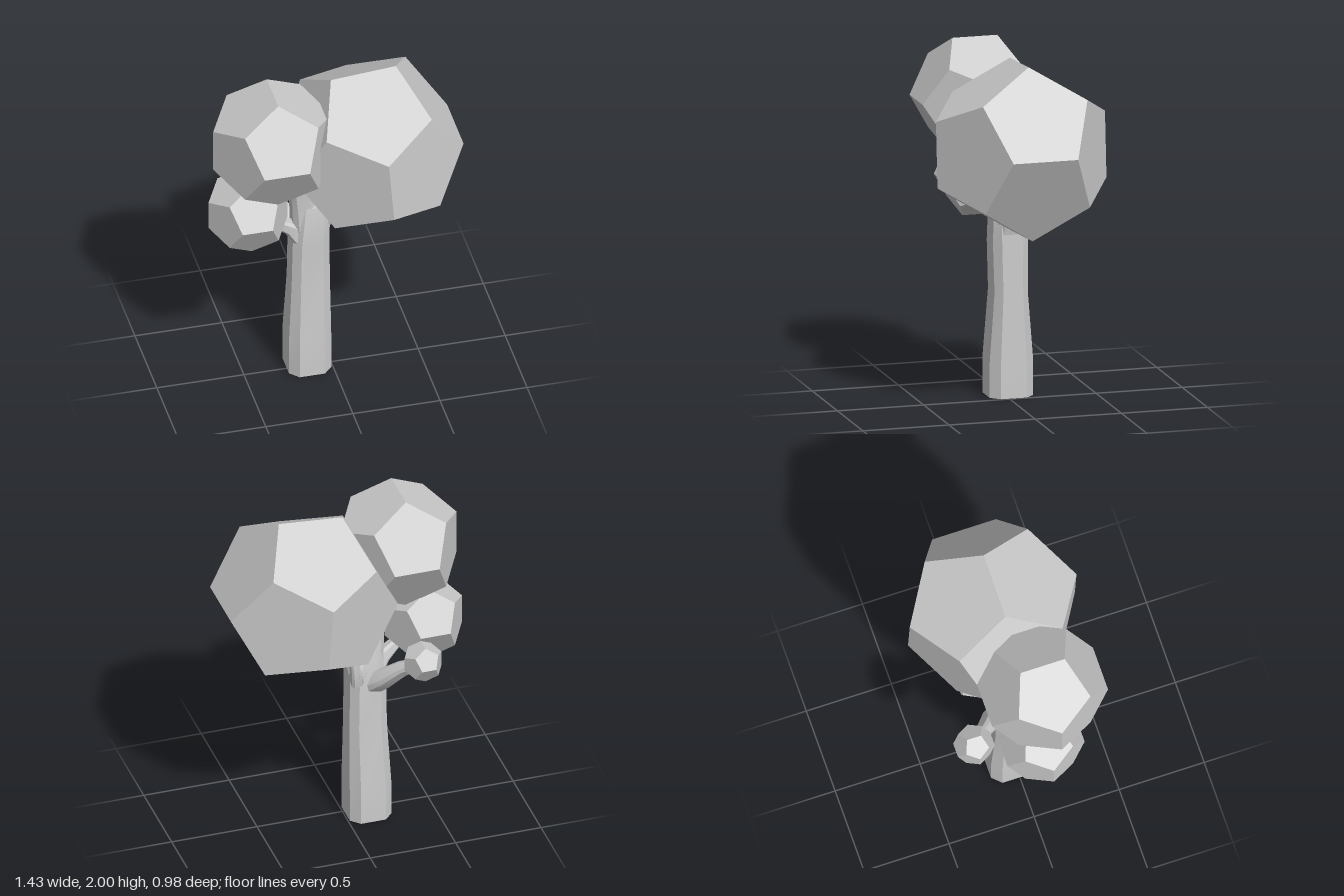
import * as THREE from 'three';
import { toCreasedNormals } from 'three/addons/utils/BufferGeometryUtils.js';

const UP = new THREE.Vector3(0, 1, 0);

// Chamfered-square cross-section: two corners in each quadrant
const ANGLES = [];
for (let q = 0; q < 4; q++) {
  const mid = (q + 0.5) * Math.PI / 2;
  ANGLES.push(mid - 0.25, mid + 0.25);
}

// Capped limb lofted through stations of [x, y, z, radius across x, radius across z]
function limbGeometry(stations) {
  const n = ANGLES.length;
  const centres = stations.map(([x, y, z]) => new THREE.Vector3(x, y, z));
  const last = centres.length - 1;
  const positions = [];
  const index = [];
  centres.forEach((c, i) => {
    const tangent = centres[Math.min(i + 1, last)].clone()
      .sub(centres[Math.max(i - 1, 0)]).normalize();
    const turn = new THREE.Quaternion().setFromUnitVectors(UP, tangent);
    const [, , , rx, rz = rx] = stations[i];
    for (const a of ANGLES) {
      const p = new THREE.Vector3(Math.sin(a) * rx, 0, Math.cos(a) * rz);
      p.applyQuaternion(turn).add(c);
      positions.push(p.x, p.y, p.z);
    }
  });
  for (let i = 0; i < last; i++) {
    for (let j = 0; j < n; j++) {
      const a = i * n + j;
      const b = i * n + (j + 1) % n;
      index.push(a, b, b + n, a, b + n, a + n);
    }
  }
  // End caps
  for (let j = 1; j < n - 1; j++) {
    index.push(0, j + 1, j);
    index.push(last * n, last * n + j, last * n + j + 1);
  }
  const geometry = new THREE.BufferGeometry();
  geometry.setAttribute('position', new THREE.Float32BufferAttribute(positions, 3));
  geometry.setIndex(index);
  return toCreasedNormals(geometry, 0.6);
}

export function createModel() {
  const tree = new THREE.Group();
  tree.name = 'tree';
  const bark = new THREE.MeshStandardMaterial({ color: 0xcccccc });
  const leaf = new THREE.MeshStandardMaterial({ color: 0xcccccc, flatShading: true });

  // Trunk and branches
  const limbs = {
    trunk: [
      [-0.132, 0, -0.027, 0.142, 0.147],
      [-0.132, 0.2, -0.027, 0.142, 0.147],
      [-0.124, 0.6, -0.025, 0.128, 0.112],
      [-0.124, 0.88, -0.022, 0.122, 0.118],
      [-0.115, 1.02, -0.015, 0.113, 0.108],
      [-0.11, 1.13, -0.01, 0.095, 0.085],
    ],
    upperRightBranch: [
      [-0.15, 0.95, -0.01, 0.085],
      [-0.17, 1.15, 0, 0.072],
      [-0.2, 1.35, 0.03, 0.062],
      [-0.28, 1.55, 0.08, 0.05],
    ],
    leftBranch: [
      [-0.09, 0.95, -0.015, 0.085],
      [-0.05, 1.1, -0.01, 0.075],
      [0.04, 1.26, 0, 0.065],
      [0.16, 1.42, 0, 0.05],
    ],
    lowerRightBranch: [
      [-0.15, 0.88, 0, 0.075],
      [-0.24, 0.99, 0.01, 0.048],
      [-0.33, 1.05, 0.03, 0.032],
      [-0.45, 1.14, 0.045, 0.025],
    ],
    backRightBranch: [
      [-0.15, 0.87, -0.06, 0.075],
      [-0.2, 0.94, -0.15, 0.058],
      [-0.28, 1.03, -0.22, 0.045],
      [-0.36, 1.1, -0.3, 0.03],
    ],
    backLeftTwig: [
      [-0.09, 0.98, -0.06, 0.045],
      [-0.03, 0.99, -0.17, 0.042],
      [-0.005, 1.01, -0.24, 0.04],
      [0.005, 1.08, -0.255, 0.032],
      [0.02, 1.22, -0.25, 0.026],
    ],
  };
  for (const [name, stations] of Object.entries(limbs)) {
    const mesh = new THREE.Mesh(limbGeometry(stations), bark);
    mesh.name = name;
    tree.add(mesh);
  }

  // Foliage: [name, x, y, z, radius, turn about y, tilt about z]
  const quarter = Math.PI / 2;
  const foliage = [
    ['largeFoliage', 0.225, 1.48, 0, 0.525, 0, 0.08],
    ['upperFoliage', -0.36, 1.66, 0.097, 0.365, quarter, 0],
    ['lowerFoliage', -0.488, 1.177, 0.045, 0.243, quarter, 0],
    ['smallFoliage', -0.372, 1.115, -0.31, 0.116, quarter, 0],
  ];
  for (const [name, x, y, z, radius, turn, tilt] of foliage) {
    const mesh = new THREE.Mesh(new THREE.DodecahedronGeometry(radius), leaf);
    mesh.name = name;
    mesh.position.set(x, y, z);
    mesh.rotation.set(0, turn, tilt);
    tree.add(mesh);
  }
  return tree;
}
